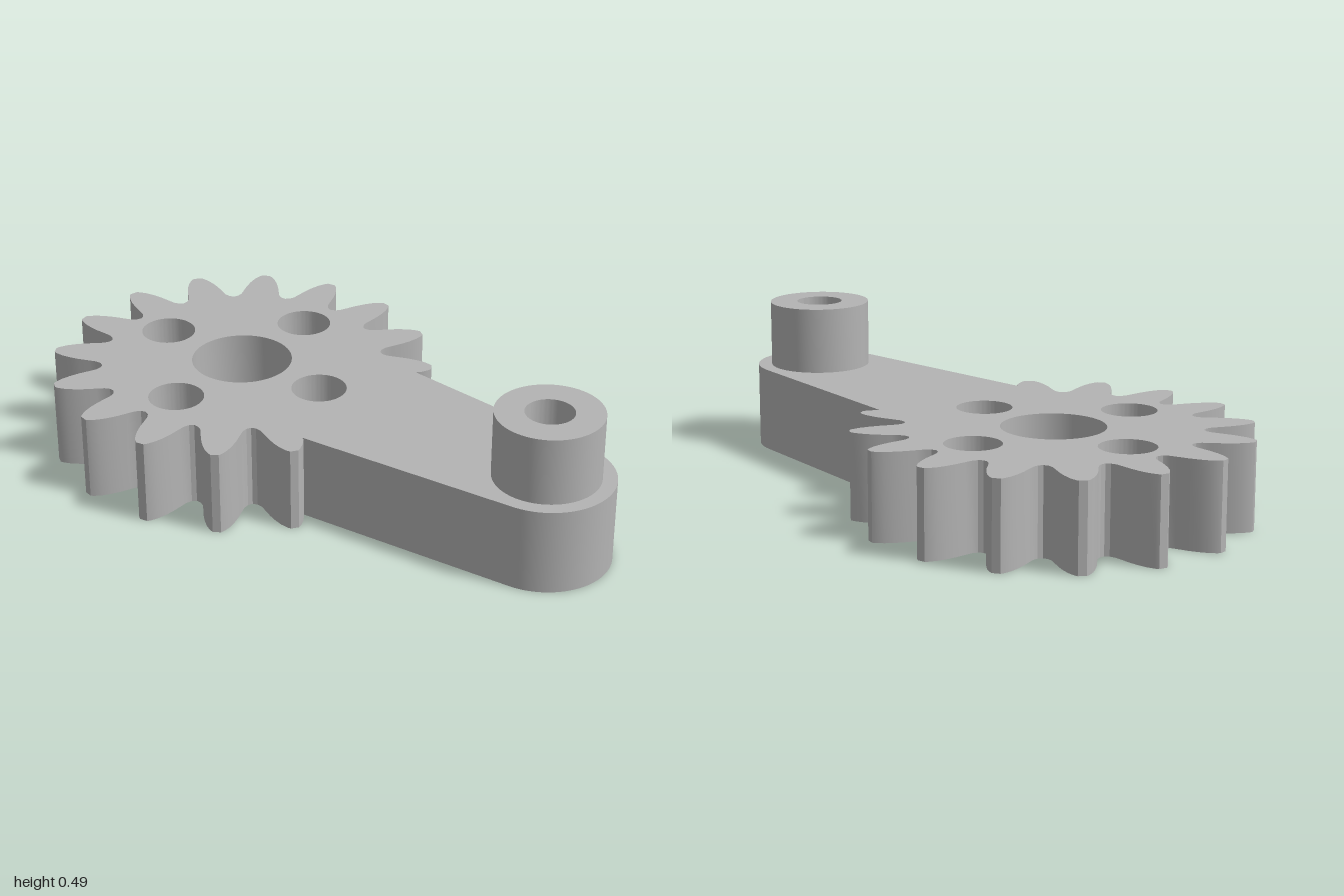
import * as THREE from 'three';
import { toCreasedNormals } from 'three/addons/utils/BufferGeometryUtils.js';

const GEAR_X = -0.39, PIN_X = 0.79, THICK = 0.275;
const rad = THREE.MathUtils.degToRad;

export function createModel() {
  const group = new THREE.Group();
  const steel = new THREE.MeshStandardMaterial({ color: 0xb4b4b4 });

  // Extrudes a plan shape (x, -z) upwards from height y
  function addPart(name, shape, y, height) {
    const geo = new THREE.ExtrudeGeometry(shape, { depth: height, bevelEnabled: false, curveSegments: 48 });
    geo.rotateX(-Math.PI / 2).translate(0, y, 0);
    const mesh = new THREE.Mesh(toCreasedNormals(geo, 0.35), steel);
    mesh.name = name;
    group.add(mesh);
  }
  const circle = (Type, x, y, r) => new Type().absarc(x, y, r, 0, Math.PI * 2, false);
  function ring(x, y, outer, inner) {
    const s = circle(THREE.Shape, x, y, outer);
    s.holes.push(circle(THREE.Path, x, y, inner));
    return s;
  }

  // Half tooth profile: angle from the tooth axis in degrees, radius
  const half = [[11.25, 0.452], [9.4, 0.458], [8, 0.472], [7, 0.497], [5.9, 0.53],
    [4.7, 0.56], [3.4, 0.587], [2, 0.608], [1.2, 0.616]];
  const tooth = [...half.map(([a, r]) => [-a, r]), ...half.slice(1).reverse()];

  // Fourteen visible teeth of a sixteen-tooth gear, flowing into the arm
  const pts = [new THREE.Vector2(0.11, 0.273)];
  for (let i = 0; i < 14; i++) {
    for (const [a, r] of tooth) {
      if (i === 0 && a < -3.5) continue;
      if (i === 13 && a > 4.8) continue;
      const t = rad(32.6 + i * 22.5 + a);
      pts.push(new THREE.Vector2(GEAR_X + r * Math.cos(t), r * Math.sin(t)));
    }
  }
  pts.push(new THREE.Vector2(0.085, -0.276));

  // Rounded arm end, tangent to the tapering sides
  const lean = rad(84.3);
  for (let i = 0; i <= 48; i++) {
    const t = lean * (i / 24 - 1);
    pts.push(new THREE.Vector2(PIN_X + 0.21 * Math.cos(t), 0.21 * Math.sin(t)));
  }
  const body = new THREE.Shape(pts);
  body.holes.push(circle(THREE.Path, GEAR_X, 0, 0.162), circle(THREE.Path, PIN_X, 0, 0.075));

  // Four counterbored bolt holes around the bore
  const bolts = [0, 1, 2, 3].map((i) => {
    const t = i * Math.PI / 2;
    return [GEAR_X + 0.32 * Math.cos(t), 0.32 * Math.sin(t)];
  });
  for (const [x, y] of bolts) body.holes.push(circle(THREE.Path, x, y, 0.088));

  addPart('gearArmPlate', body, 0, THICK);
  bolts.forEach(([x, y], i) => addPart('boltSeat' + (i + 1), ring(x, y, 0.088, 0.061), 0, 0.12));

  // Hollow boss at the arm end
  addPart('boss', ring(PIN_X, 0, 0.165, 0.075), THICK, 0.49 - THICK);
  return group;
}
